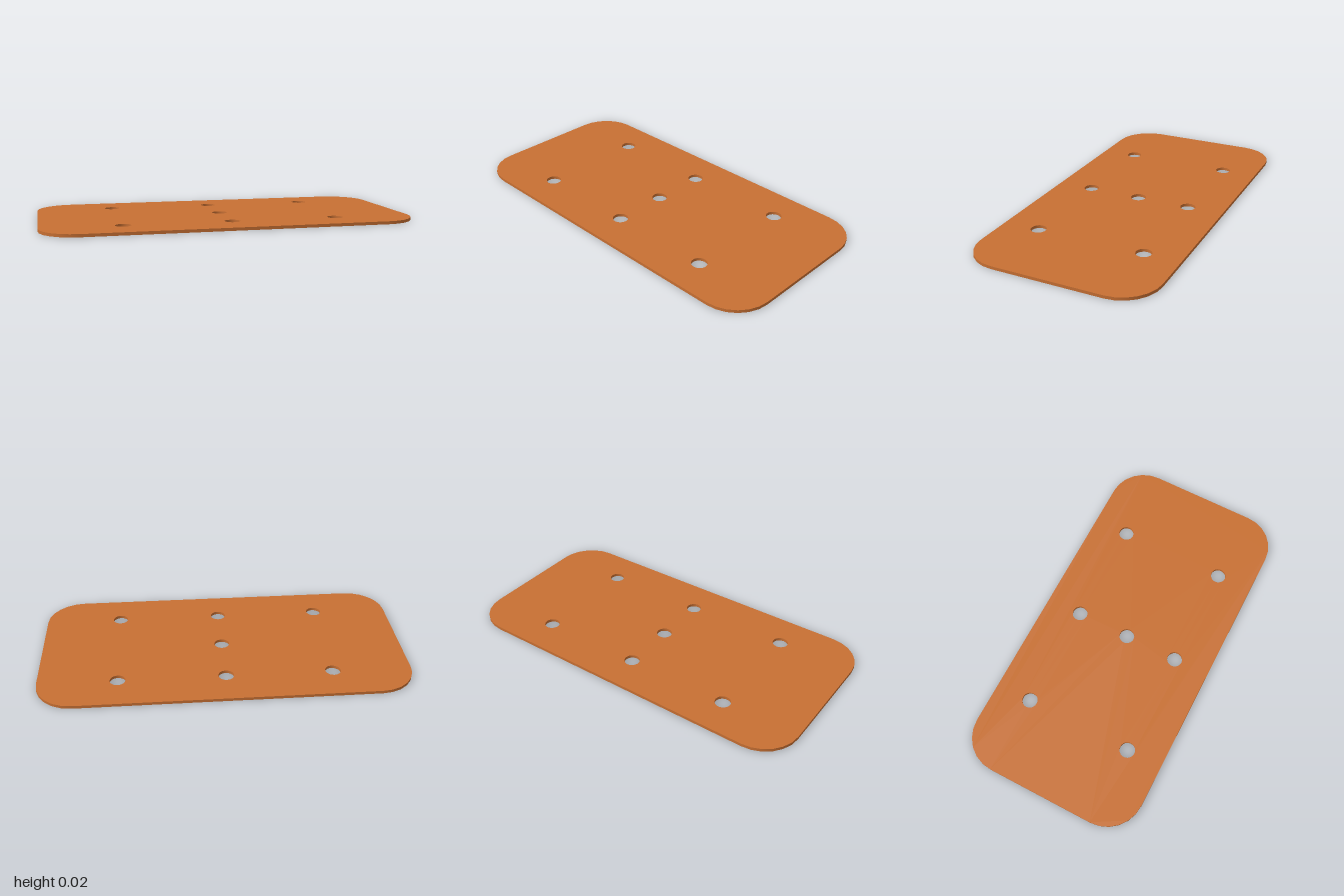
import * as THREE from 'three';
import { toCreasedNormals } from 'three/addons/utils/BufferGeometryUtils.js';

const HALF_X = 1, HALF_Z = 0.5, THICKNESS = 0.016;
const CORNER_RADIUS = 0.2, HOLE_RADIUS = 0.042;

// Points along a circular arc, both ends included
function arcPoints(cx, cy, radius, start, sweep, segments) {
  return Array.from({ length: segments + 1 }, (_, i) => {
    const a = start + (sweep * i) / segments;
    return new THREE.Vector2(cx + radius * Math.cos(a), cy + radius * Math.sin(a));
  });
}

export function createModel() {
  const group = new THREE.Group();
  group.name = 'mountingPlate';

  // Rounded rectangle outline, counter-clockwise from the +x +y corner
  const outline = [];
  [[1, 1], [-1, 1], [-1, -1], [1, -1]].forEach(([sx, sy], i) => {
    outline.push(...arcPoints(
      sx * (HALF_X - CORNER_RADIUS), sy * (HALF_Z - CORNER_RADIUS),
      CORNER_RADIUS, (i * Math.PI) / 2, Math.PI / 2, 6));
  });
  const shape = new THREE.Shape(outline);

  // Two rows of three bolt holes and one in the centre
  const holes = [[0, 0]];
  for (const x of [-0.575, 0, 0.575]) for (const y of [-0.3, 0.3]) holes.push([x, y]);
  for (const [x, y] of holes) {
    const rim = arcPoints(x, y, HOLE_RADIUS, 0, -Math.PI * 2, 24).slice(0, -1);
    shape.holes.push(new THREE.Path(rim));
  }

  // Extrude, then lay flat on the ground
  const geometry = new THREE.ExtrudeGeometry(shape, { depth: THICKNESS, bevelEnabled: false });
  geometry.rotateX(-Math.PI / 2);

  const plate = new THREE.Mesh(
    toCreasedNormals(geometry, Math.PI / 6),
    new THREE.MeshStandardMaterial({ color: 0xc87033 }));
  plate.name = 'plate';
  group.add(plate);
  return group;
}
